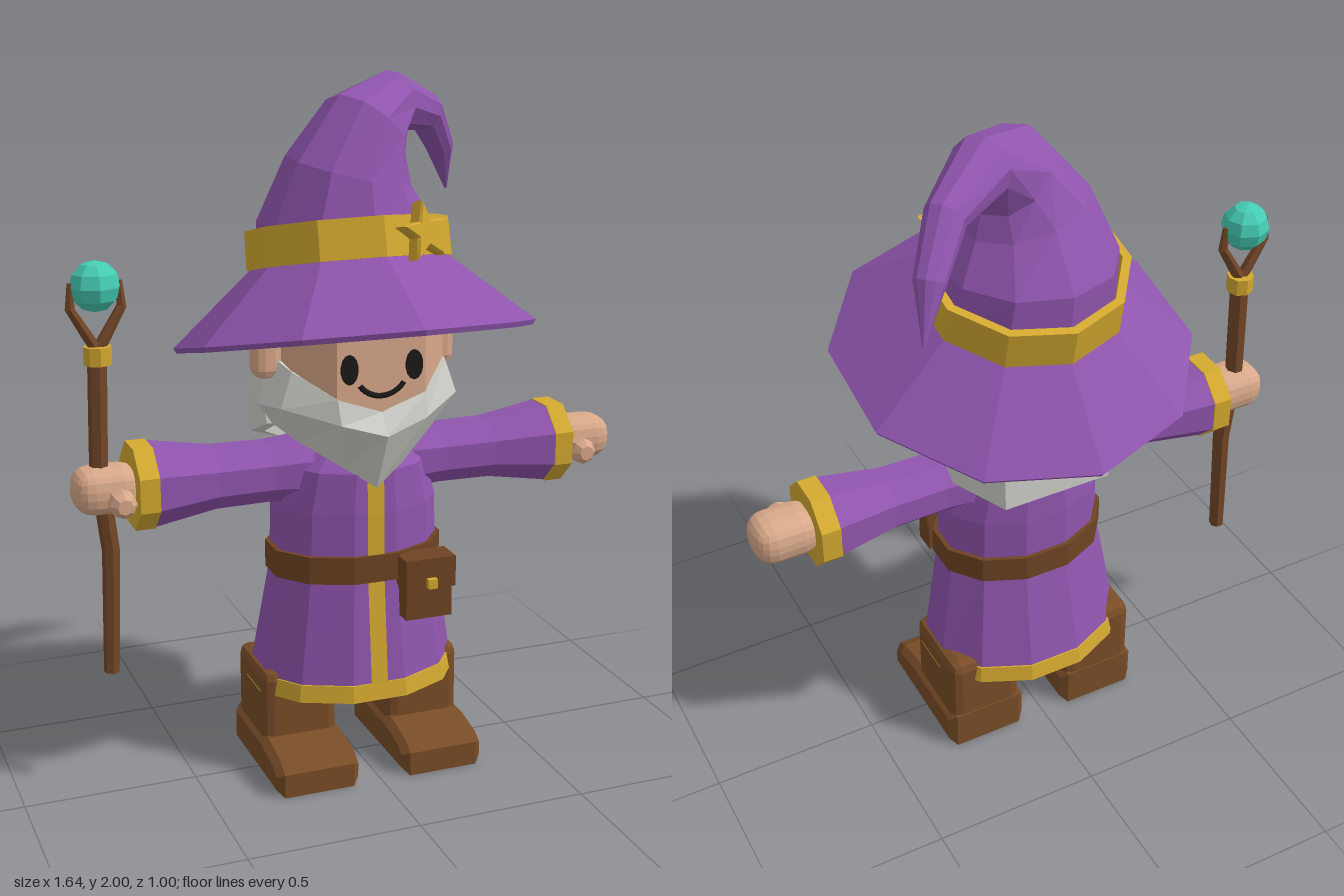
import * as THREE from 'three';
import { RoundedBoxGeometry } from 'three/addons/geometries/RoundedBoxGeometry.js';

const V = (x, y, z) => new THREE.Vector3(x, y, z);
const paint = (name, color) => {
  const m = new THREE.MeshStandardMaterial({ color });
  m.name = name;
  return m;
};

// Faceted normals for the low-poly look
function facet(geo) {
  const g = geo.index ? geo.toNonIndexed() : geo;
  g.computeVertexNormals();
  return g;
}

// Skin between rings of points; rings run counter-clockwise seen from the far end
function loft(rings, { closed = true, capStart = false, capEnd = false } = {}) {
  const n = rings[0].length, pos = [], idx = [];
  rings.forEach(r => r.forEach(p => pos.push(p.x, p.y, p.z)));
  for (let k = 0; k < rings.length - 1; k++) {
    for (let i = 0; i < (closed ? n : n - 1); i++) {
      const a = k * n + i, b = k * n + (i + 1) % n;
      idx.push(a, b, b + n, a, b + n, a + n);
    }
  }
  const last = (rings.length - 1) * n;
  for (let i = 1; i < n - 1; i++) {
    if (capStart) idx.push(0, i + 1, i);
    if (capEnd) idx.push(last, last + i, last + i + 1);
  }
  const g = new THREE.BufferGeometry();
  g.setAttribute('position', new THREE.Float32BufferAttribute(pos, 3));
  g.setIndex(idx);
  return facet(g);
}

// Tapered tube along a path
function sweep(path, radii, sides) {
  const q = new THREE.Quaternion(), dir = V(0, 1, 0);
  const rings = path.map((p, k) => {
    const t = path[Math.min(k + 1, path.length - 1)].clone().sub(path[Math.max(k - 1, 0)]).normalize();
    q.premultiply(new THREE.Quaternion().setFromUnitVectors(dir, t));
    dir.copy(t);
    return Array.from({ length: sides }, (_, i) => {
      const a = i / sides * Math.PI * 2;
      return V(Math.sin(a) * radii[k], 0, Math.cos(a) * radii[k]).applyQuaternion(q).add(p);
    });
  });
  return loft(rings, { capStart: true, capEnd: true });
}

const lathe = (pts, sides) => facet(new THREE.LatheGeometry(pts.map(p => new THREE.Vector2(...p)), sides));

export function createModel() {
  const purple = paint('purple cloth', 0x9055ae), gold = paint('gold trim', 0xd4a930);
  const leather = paint('boot leather', 0x7a4d28), belt = paint('belt leather', 0x6f4423);
  const wood = paint('staff wood', 0x744728), skin = paint('skin', 0xd9a98a);
  const hairMat = paint('grey hair', 0xd2d2cd), teal = paint('teal crystal', 0x45ccb4);
  const black = paint('black', 0x1c1a18);
  const model = new THREE.Group();
  const add = (name, geo, mat, x = 0, y = 0, z = 0, parent = model) => {
    const m = new THREE.Mesh(geo, mat);
    m.name = name;
    m.position.set(x, y, z);
    parent.add(m);
    return m;
  };

  // Robe: twelve-sided rings of [y, half width, half depth, centre z]
  const rows = [[0.25, 0.312, 0.244, -0.037], [0.3, 0.303, 0.236, -0.036], [0.62, 0.25, 0.187, -0.02],
    [0.8, 0.245, 0.187, -0.02], [0.92, 0.212, 0.18, -0.02], [1.0, 0.12, 0.11, -0.02]];
  const ring = ([y, a, b, cz], grow = 0) => Array.from({ length: 12 }, (_, i) => {
    const t = (i + 0.5) * Math.PI / 6;
    return V(Math.sin(t) * (a + grow), y, Math.cos(t) * (b + grow) + cz);
  });
  add('robe', loft([ring([0.6, 0.235, 0.17, -0.02]), ...rows.map(r => ring(r))], { capStart: true, capEnd: true }), purple);
  add('hem', loft([ring(rows[0], -0.004), ring(rows[0], 0.005), ring(rows[1], 0.005), ring(rows[1])]), gold);
  add('frontStripe', loft(rows.slice(1, 5).map(([y, , b, cz]) =>
    [-0.025, 0.025].map(x => V(x, y, cz + 0.966 * b + 0.005))), { closed: false }), gold);

  // Belt and pouch
  const beltRing = (y, g) => ring([y, 0.25, 0.187, -0.02], g);
  add('belt', loft([beltRing(0.6, -0.01), beltRing(0.6, 0.012), beltRing(0.68, 0.012), beltRing(0.68, -0.01)]), belt);
  add('pouch', new THREE.BoxGeometry(0.14, 0.17, 0.07), belt, 0.14, 0.575, 0.187);
  add('pouchFlap', new THREE.BoxGeometry(0.152, 0.09, 0.085), belt, 0.14, 0.628, 0.192);
  add('pouchButton', new THREE.BoxGeometry(0.028, 0.028, 0.02), gold, 0.14, 0.602, 0.242);

  // Boots
  const footShape = new THREE.Shape([[-0.18, 0.02], [0.2, 0.02], [0.2, 0.06], [0.17, 0.08], [0.07, 0.1], [-0.18, 0.1]]
    .map(p => new THREE.Vector2(...p)));
  const footGeo = new THREE.ExtrudeGeometry(footShape, { depth: 0.21, bevelSize: 0.02, bevelThickness: 0.02, bevelSegments: 1 });
  footGeo.translate(0, 0, -0.105);
  footGeo.rotateY(-Math.PI / 2);
  const shaftGeo = facet(new RoundedBoxGeometry(0.225, 0.29, 0.265, 1, 0.03));
  for (const s of [1, -1]) {
    add('foot', footGeo, leather, s * 0.193, 0, 0);
    add('bootShaft', shaftGeo, leather, s * 0.193, 0.178, -0.064);
  }

  // Arms: octagonal sleeves, cuffs, hands and thumbs
  const octagon = pts => lathe(pts, 8).rotateY(Math.PI / 8);
  const sleeveGeo = octagon([[0.1, 0.1], [0.098, 0.18], [0.09, 0.26], [0.092, 0.42], [0.122, 0.6]]);
  const cuffGeo = octagon([[0.115, 0.6], [0.126, 0.6], [0.126, 0.656], [0, 0.656]]);
  const handGeo = facet(new RoundedBoxGeometry(0.19, 0.132, 0.146, 2, 0.055));
  const thumbGeo = lathe([[0.038, 0], [0.038, 0.055], [0.022, 0.075], [0, 0.075]], 8).rotateX(Math.PI / 2);
  for (const s of [1, -1]) {
    add('sleeve', sleeveGeo, purple, 0, 0.905, -0.025).rotation.z = -s * Math.PI / 2;
    add('cuff', cuffGeo, gold, 0, 0.905, -0.025).rotation.z = -s * Math.PI / 2;
    add('hand', handGeo, skin, s * 0.725, 0.905, -0.025);
    add('thumb', thumbGeo, skin, s * 0.7, 0.885, 0.027);
  }

  // Head, neck and ears
  const headPlan = [[0.13, 0.2], [0.225, 0.1], [0.225, -0.12], [0.13, -0.22], [-0.13, -0.22], [-0.225, -0.12], [-0.225, 0.1], [-0.13, 0.2]];
  const headRing = (y, k) => headPlan.map(([x, z]) => V(x * k, y, z * k));
  add('head', loft([headRing(1.03, 0.85), headRing(1.08, 1), headRing(1.38, 1)], { capStart: true, capEnd: true }), skin);
  add('neck', new THREE.CylinderGeometry(0.085, 0.085, 0.1, 8), skin, 0, 1.01, -0.01);
  const earGeo = facet(new RoundedBoxGeometry(0.08, 0.15, 0.09, 1, 0.025));
  for (const s of [1, -1]) add('ear', earGeo, skin, s * 0.26, 1.255, -0.02);

  // Face
  const eyeGeo = new THREE.CylinderGeometry(1, 1, 0.008, 14).rotateX(Math.PI / 2).scale(0.025, 0.042, 1);
  for (const s of [1, -1]) add('eye', eyeGeo, black, s * 0.095, 1.235, 0.203);
  const arc = 1.9;
  const mouthGeo = new THREE.TorusGeometry(0.08, 0.008, 6, 12, arc).rotateZ(-Math.PI / 2 - arc / 2).scale(1, 1, 0.5);
  add('mouth', mouthGeo, black, 0, 1.235, 0.202);

  // Beard: half columns of [bottom, ridge, top], mirrored across the chin
  const half = [
    [[0, 0.88, 0.17], [0, 1.05, 0.25], [0, 1.11, 0.208]],
    [[0.09, 0.94, 0.14], [0.125, 1.085, 0.222], [0.13, 1.155, 0.207]],
    [[0.2, 1.01, 0.075], [0.262, 1.12, 0.115], [0.228, 1.22, 0.11]],
    [[0.24, 1.04, -0.03], [0.28, 1.1, -0.035], [0.245, 1.24, -0.035]]];
  const columns = [...half.slice(1).reverse().map(c => c.map(([x, y, z]) => V(-x, y, z))), ...half.map(c => c.map(p => V(...p)))];
  const beardRows = [0, 1, 2].map(k => columns.map(c => c[k]));
  const under = beardRows[0].map(p => V(p.x * 0.6, 1.045, p.z * 0.6));
  const lip = beardRows[2].map(p => V(p.x * 0.85, p.y - 0.01, p.z * 0.85));
  add('beard', loft([under, ...beardRows, lip], { closed: false }), hairMat);

  // Hair shell down the back of the head: [x, z, bottom y]
  const hairPlan = [[0.262, -0.03, 1.04], [0.272, -0.15, 0.99], [0.165, -0.265, 0.935],
    [-0.165, -0.265, 0.935], [-0.272, -0.15, 0.99], [-0.262, -0.03, 1.04]];
  const hairRing = (y, k) => hairPlan.map(([x, z, low]) => V(x * k, y ?? low, z * k));
  add('backHair', loft([hairRing(1.05, 0.8), hairRing(null, 0.85), hairRing(null, 0.98), hairRing(1.1, 1), hairRing(1.34, 0.96)],
    { capStart: true, capEnd: true }), hairMat);

  // Hat brim, band and star, tilted back
  const hat = new THREE.Group();
  hat.name = 'hat';
  hat.position.y = 1.285;
  hat.rotation.x = -0.226;
  model.add(hat);
  add('brim', lathe([[0.25, 0.19], [0.505, -0.014], [0.513, 0], [0.27, 0.21]], 10), purple, 0, 0, 0, hat);
  add('hatBand', lathe([[0.262, 0.2], [0.29, 0.2], [0.287, 0.31], [0.262, 0.31], [0.262, 0.2]], 10), gold, 0, 0, 0, hat);
  const starShape = new THREE.Shape(Array.from({ length: 10 }, (_, i) => {
    const a = i * Math.PI / 5 - 0.12, r = i % 2 ? 0.038 : 0.085;
    return new THREE.Vector2(Math.sin(a) * r, Math.cos(a) * r);
  }).reverse());
  const starGeo = new THREE.ExtrudeGeometry(starShape, { depth: 0.03, bevelSize: 0.006, bevelThickness: 0.008, bevelOffset: -0.006, bevelSegments: 1 });
  add('star', starGeo, gold, 0.105, 0.258, 0.265, hat).rotation.y = 0.36;

  // Hat cone curling over to a drooping point
  add('hatCone', sweep(
    [V(0, 1.47, -0.045), V(-0.01, 1.6, -0.065), V(-0.005, 1.74, -0.04), V(0.05, 1.86, -0.05),
      V(0.15, 1.92, -0.11), V(0.3, 1.875, -0.215), V(0.385, 1.765, -0.3), V(0.434, 1.63, -0.36)],
    [0.266, 0.245, 0.18, 0.13, 0.085, 0.056, 0.042, 0.004], 10), purple);

  // Staff with forked top and crystal
  const sx = -0.73, sz = -0.03;
  add('staff', sweep([V(sx + 0.003, 0.36, sz), V(sx + 0.015, 0.72, sz), V(sx - 0.01, 0.95, sz), V(sx, 1.3, sz)],
    [0.023, 0.026, 0.027, 0.028], 7), wood);
  add('staffCollar', facet(new THREE.CylinderGeometry(0.039, 0.039, 0.05, 8)), gold, sx, 1.28, sz);
  for (const s of [1, -1]) {
    add('staffProng', sweep([V(sx, 1.29, sz), V(sx + s * 0.035, 1.35, sz), V(sx + s * 0.07, 1.41, sz), V(sx + s * 0.066, 1.48, sz)],
      [0.018, 0.016, 0.014, 0.009], 6), wood);
  }
  add('crystal', facet(new THREE.SphereGeometry(0.07, 8, 6)), teal, sx, 1.468, sz);
  return model;
}
